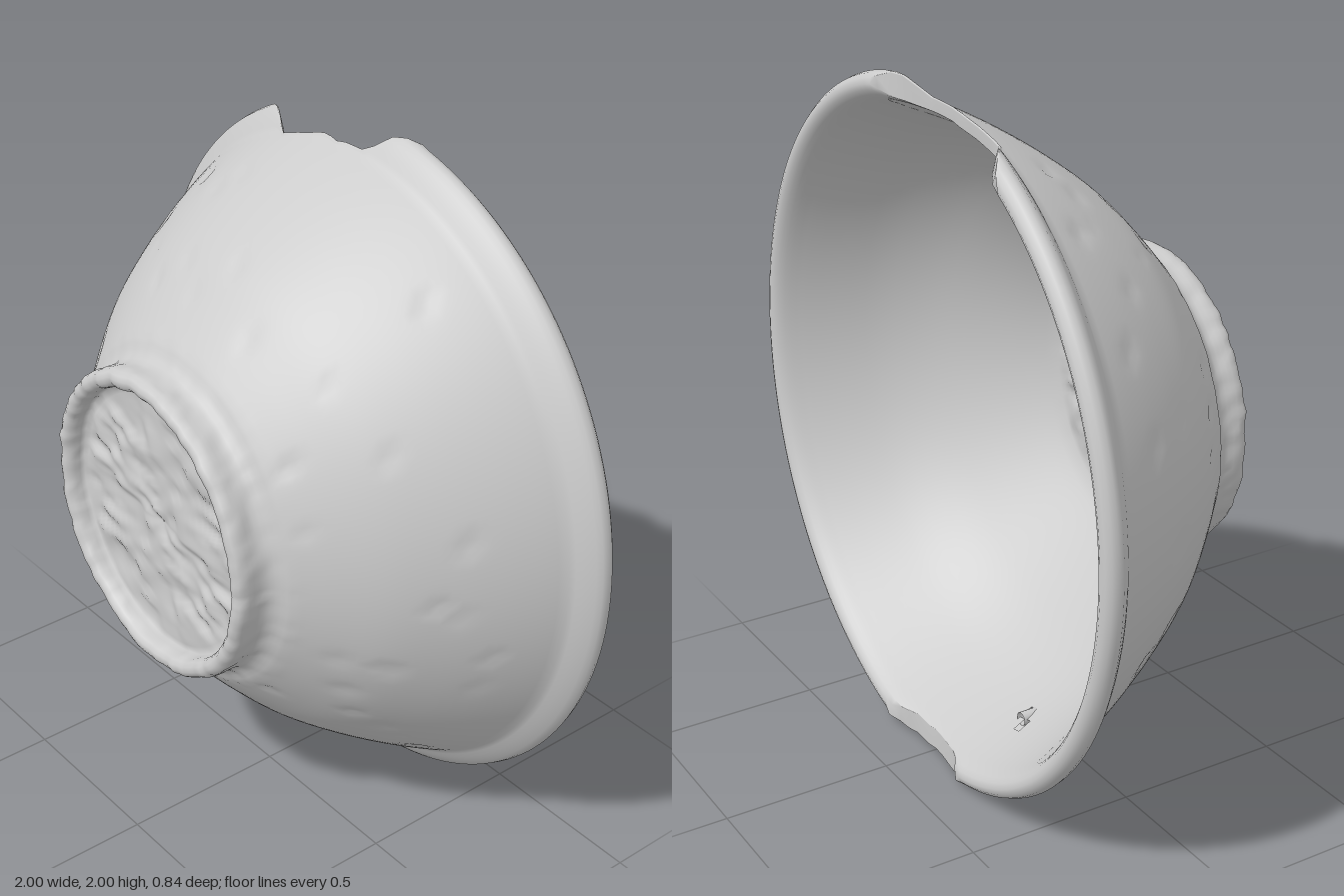
import * as THREE from 'three';

const SEG = 180;

// piecewise-linear lookup through [key, value] pairs
function lookup(pairs, k) {
  if (k <= pairs[0][0]) return pairs[0][1];
  for (let i = 1; i < pairs.length; i++) {
    const [k0, v0] = pairs[i - 1], [k1, v1] = pairs[i];
    if (k <= k1) return v0 + (v1 - v0) * (k - k0) / (k1 - k0);
  }
  return pairs[pairs.length - 1][1];
}

// smooth value noise, -1..1
const hash = (i, j) => {
  const s = Math.sin(i * 127.1 + j * 311.7) * 43758.5453;
  return (s - Math.floor(s)) * 2 - 1;
};
function noise(x, y) {
  const i = Math.floor(x), j = Math.floor(y);
  const u = THREE.MathUtils.smoothstep(x - i, 0, 1), v = THREE.MathUtils.smoothstep(y - j, 0, 1);
  const lerp = THREE.MathUtils.lerp;
  return lerp(lerp(hash(i, j), hash(i + 1, j), u), lerp(hash(i, j + 1), hash(i + 1, j + 1), u), v);
}

// profile sections as [radius, z], from the recessed base round to the inner floor
const foot = [[0.388, 0.355], [0.395, 0.395], [0.41, 0.41], [0.433, 0.408], [0.445, 0.39], [0.445, 0.33], [0.46, 0.305], [0.5, 0.28]];
const outer = [[0.5, 0.28], [0.59, 0.2], [0.69, 0.1], [0.78, -0.02], [0.85, -0.13], [0.9, -0.22], [0.93, -0.28]];
const lip = [[0.93, -0.28], [0.975, -0.315], [1, -0.345], [0.99, -0.375], [0.965, -0.385], [0.94, -0.37], [0.9, -0.29]];
const inner = [[0.9, -0.29], [0.86, -0.2], [0.8, -0.08], [0.72, 0.03], [0.62, 0.13], [0.5, 0.235], [0.43, 0.29], [0.4, 0.31]];

function sample(points, n, side) {
  const curve = new THREE.CatmullRomCurve3(points.map(([r, z]) => new THREE.Vector3(r, z, 0)));
  return curve.getSpacedPoints(n).map(p => ({ r: p.x, z: p.y, side }));
}
function disc(radius, z, n, side) {
  return Array.from({ length: n }, (_, i) => ({ r: Math.max(0.002, radius * i / n), z, side }));
}
const profile = [
  ...disc(0.388, 0.355, 18, 'base'),
  ...sample(foot, 16, 'foot'),
  ...sample(outer, 26, 'outer').slice(1),
  ...sample(lip, 16, 'lip').slice(1),
  ...sample(inner, 18, 'inner').slice(1),
  ...disc(0.4, 0.31, 18, 'floor').reverse(),
];
const rimIndex = profile.reduce((best, p, i) => (p.z < profile[best].z ? i : best), 0);
const byZ = list => list.map(([r, z]) => [z, r]).sort((a, b) => a[0] - b[0]);
const outerR = byZ([...outer, ...lip.slice(1, 4)]);
const innerR = byZ([...lip.slice(4, 6), ...inner]);

// height at which the rim is broken away, along x
const topChip = [[-0.5, -0.5], [-0.47, -0.39], [-0.4, -0.34], [-0.31, -0.262], [-0.2, -0.268], [-0.12, -0.285], [-0.08, -0.272], [0.05, -0.285], [0.1, -0.33], [0.18, -0.385], [0.2, -0.5]];
const bottomChip = [[-0.25, -0.5], [-0.21, -0.38], [-0.15, -0.345], [0, -0.33], [0.12, -0.342], [0.2, -0.38], [0.24, -0.5]];

// small pits scattered over the outer wall
const pits = Array.from({ length: 50 }, (_, i) => ({
  a: (hash(i, 3) + 1) * Math.PI, z: 0.02 + hash(i, 7) * 0.23,
  size: 0.02 + 0.006 * hash(i, 11), depth: 0.008 + 0.004 * hash(i, 13),
}));

const HOLE = { x: -0.235, y: 0.19 };

function place(p, index, a) {
  let { r, z } = p;
  const c = Math.cos(a), s = Math.sin(a);
  // broken rim: everything beyond the cut is pressed down onto it
  const cut = lookup(s > 0 ? topChip : bottomChip, c * 0.97) + 0.004 * noise(a * 40, 5);
  if (z < cut) {
    const edge = lookup(index <= rimIndex ? outerR : innerR, cut);
    r = edge + (r - edge) * 0.1;
    z = cut + (z - cut) * 0.1;
  }
  // surface wear
  if (p.side === 'base' || p.side === 'floor') {
    const fade = Math.min(1, (0.4 - r) * 15);
    z += fade * 0.011 * noise(r * c * 17 + r * s * 6, r * s * 30);
  } else if (p.side === 'foot') {
    z += p.z > 0.38 ? 0.004 * noise(a * 14, p.z * 20) : 0;
    r += 0.003 * noise(a * 16, p.z * 30);
  } else if (p.side === 'outer') {
    for (const pit of pits) {
      const da = (a - pit.a) * r, dz = z - pit.z;
      r -= pit.depth * Math.exp(-(da * da + dz * dz) / (pit.size * pit.size));
    }
  }
  // slight lean of the whole bowl
  const x = r * c - 0.02 - 0.05 * z;
  const y = 1.005 + r * s * (s > 0 ? 1.015 : 1);
  // crack running from the small hole to the rim
  if (p.side === 'outer' && y < 0.24) {
    const d = (x - HOLE.x - 0.35 * (y - HOLE.y)) / 0.018;
    z -= 0.014 * Math.exp(-d * d);
  }
  return [x, y, z + 0.03 * x];
}

function bowlGeometry() {
  const positions = [], index = [], n = profile.length;
  for (let i = 0; i < SEG; i++) {
    profile.forEach((p, j) => positions.push(...place(p, j, i / SEG * Math.PI * 2)));
  }
  const inHole = v => Math.hypot(positions[v * 3] - HOLE.x, positions[v * 3 + 1] - HOLE.y) < 0.018;
  for (let i = 0; i < SEG; i++) {
    for (let j = 0; j < n - 1; j++) {
      const a = i * n + j, d = ((i + 1) % SEG) * n + j;
      if (inHole(a) || inHole(d + 1)) continue;
      index.push(a, a + 1, d + 1, a, d + 1, d);
    }
  }
  const geometry = new THREE.BufferGeometry();
  geometry.setAttribute('position', new THREE.Float32BufferAttribute(positions, 3));
  geometry.setIndex(index);
  geometry.computeVertexNormals();
  return geometry;
}

export function createModel() {
  const group = new THREE.Group();
  group.name = 'chippedBowl';
  const material = new THREE.MeshStandardMaterial({ color: 0xcccccc, side: THREE.DoubleSide });

  const bowl = new THREE.Mesh(bowlGeometry(), material);
  bowl.name = 'bowl';
  group.add(bowl);

  // lining of the small hole through the wall
  const lining = new THREE.Mesh(new THREE.CylinderGeometry(0.02, 0.02, 0.06, 16, 1, true), material);
  lining.name = 'holeLining';
  lining.rotation.x = Math.PI / 2;
  lining.position.set(HOLE.x, HOLE.y, -0.155);
  group.add(lining);
  return group;
}
